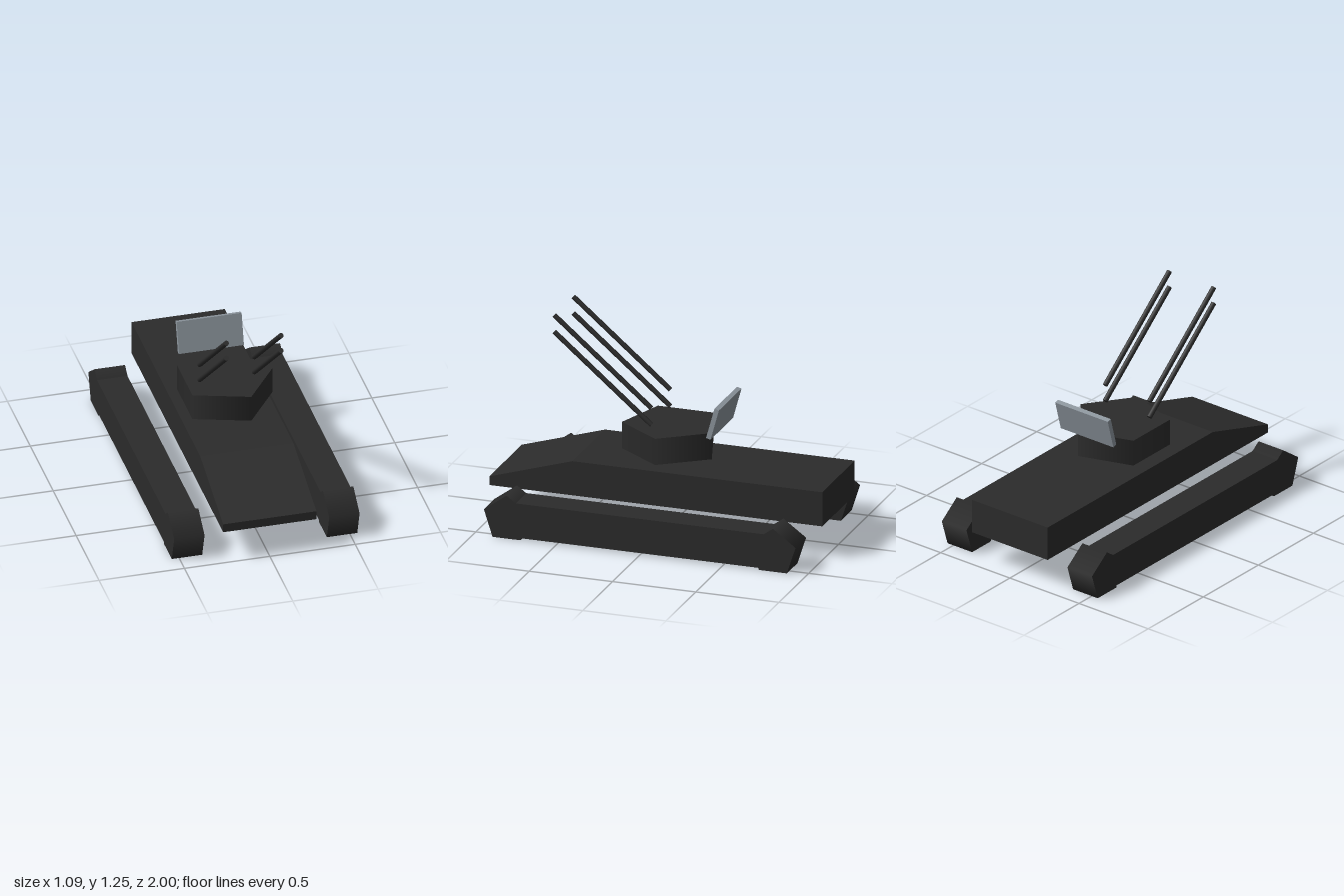
import * as THREE from 'three';

export function createModel() {
  const model = new THREE.Group();
  const dark = new THREE.MeshStandardMaterial({ color: 0x2b2b2b });
  dark.name = 'charcoal';
  const grey = new THREE.MeshStandardMaterial({ color: 0x8c959d });
  grey.name = 'steel grey';

  const add = (name, geometry, material, x, y, z, parent = model) => {
    const mesh = new THREE.Mesh(geometry, material);
    mesh.name = name;
    mesh.position.set(x, y, z);
    parent.add(mesh);
    return mesh;
  };

  // Hull: side profile (z, y) with a sloped nose, extruded across x
  const hullWidth = 0.546;
  const profile = new THREE.Shape(
    [[-1, 0.205], [1, 0.205], [1, 0.257], [0.5, 0.411], [-1, 0.411]]
      .map(([z, y]) => new THREE.Vector2(z, y)));
  const hull = new THREE.ExtrudeGeometry(profile, { depth: hullWidth, bevelEnabled: false });
  hull.translate(0, 0, -hullWidth / 2).rotateY(-Math.PI / 2);
  add('hull', hull, dark, 0, 0, 0);

  // Tracks: a long block with a five-sided wheel at each end
  const trackWidth = 0.178;
  const wheel = new THREE.CylinderGeometry(0.143, 0.143, trackWidth, 5)
    .rotateZ(Math.PI / 2).rotateX(-Math.PI / 2);
  const belt = new THREE.BoxGeometry(trackWidth, 0.206, 1.6);
  for (const side of [-1, 1]) {
    const track = new THREE.Group();
    track.name = side > 0 ? 'leftTrack' : 'rightTrack';
    track.position.x = side * 0.454;
    model.add(track);
    add('trackBelt', belt, dark, 0, 0.117, 0, track);
    add('frontWheel', wheel, dark, 0, 0.117, 0.8, track);
    add('rearWheel', wheel, dark, 0, 0.117, -0.8, track);
  }

  // Five-sided turret with one corner pointing to +x
  const turret = new THREE.CylinderGeometry(0.284, 0.284, 0.158, 5).rotateY(Math.PI / 2);
  add('turret', turret, dark, 0, 0.533, 0);

  // Two pairs of raised gun barrels
  const tilt = Math.atan2(0.585, 0.49);
  const barrel = new THREE.CylinderGeometry(0.015, 0.015, 0.763, 8).rotateX(tilt);
  for (const x of [-0.16, 0.16]) {
    for (const y of [0.89, 0.99]) add('gunBarrel', barrel, dark, x, y, 0.358);
  }

  // Rear plate leaning backwards
  const plate = add('rearPlate', new THREE.BoxGeometry(0.38, 0.19, 0.028), grey, 0, 0.706, -0.311);
  plate.rotation.x = -0.27;

  return model;
}
